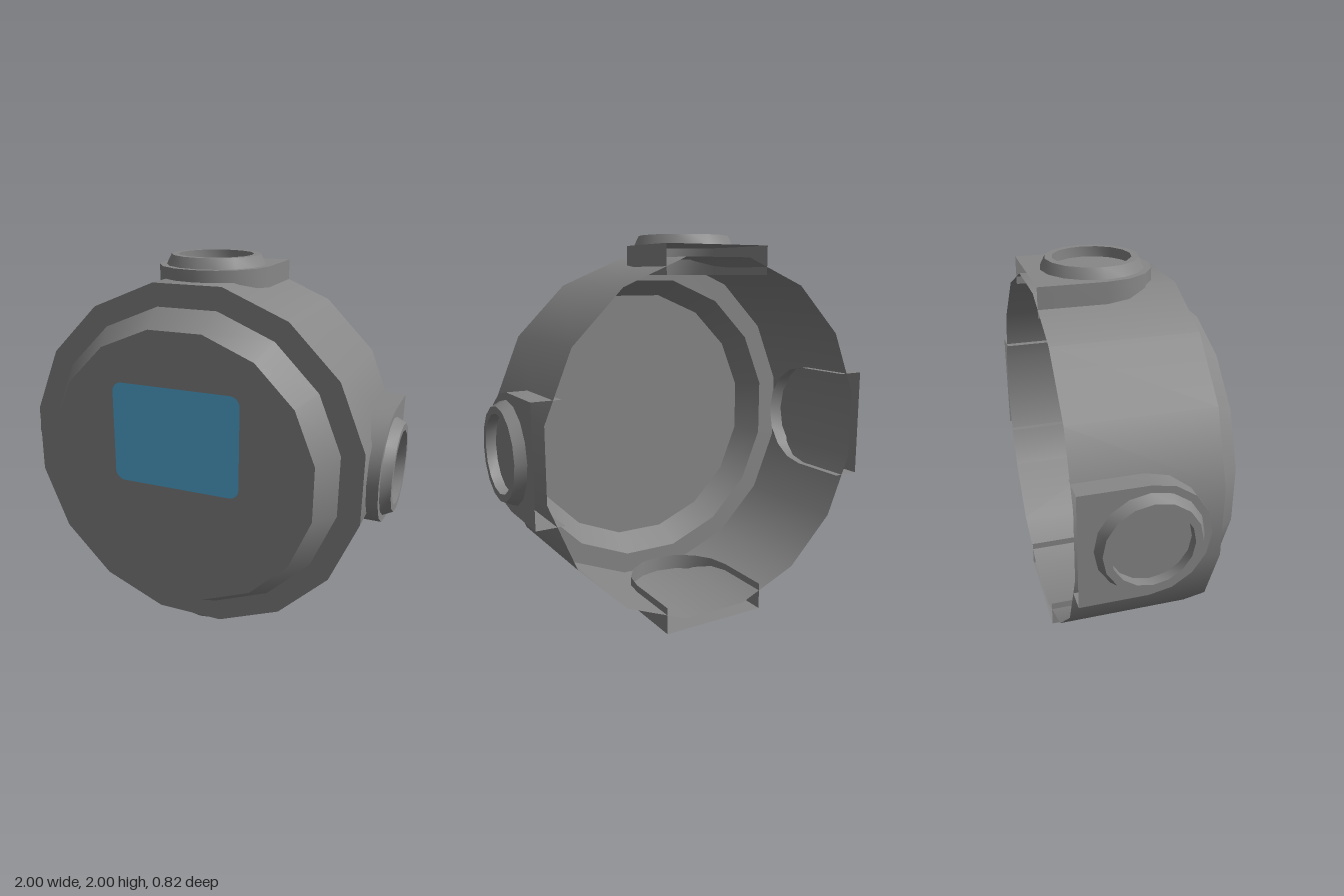
import * as THREE from 'three';
import { toCreasedNormals } from 'three/addons/utils/BufferGeometryUtils.js';

const SIDES = 16, R = 0.91, STEP = Math.PI / SIDES;
const BACK = -0.41, RIM = 0.27, FRONT = 0.41;
const PORT_R = 0.285, PORT_Z = -0.09, PORT_FOOT = 0.81, PORT_TOP = 0.95;

const grey = new THREE.MeshStandardMaterial({ color: 0x878787, side: THREE.DoubleSide });
const blue = new THREE.MeshStandardMaterial({ color: 0x56b0e0 });

function part(name, geometry, material = grey) {
  const mesh = new THREE.Mesh(geometry, material);
  mesh.name = name;
  return mesh;
}

// Skin between two rows of points
function strip(a, b) {
  const n = a.length, index = [];
  for (let i = 0; i < n - 1; i++) index.push(i, i + 1, n + i, n + i, i + 1, n + i + 1);
  const g = new THREE.BufferGeometry();
  g.setAttribute('position', new THREE.Float32BufferAttribute([...a, ...b].flat(), 3));
  g.setIndex(index);
  g.computeVertexNormals();
  return g;
}

// U-shaped port outline as [x, z], open at the back
function portOutline() {
  const points = [[-PORT_R, BACK]];
  for (let i = 0; i <= 8; i++) {
    const t = i * Math.PI / 8;
    points.push([-PORT_R * Math.cos(t), PORT_Z + PORT_R * Math.sin(t)]);
  }
  points.push([PORT_R, BACK]);
  return points;
}

// Port standing on the wall; its sides run through to the inside
function createPort() {
  const port = new THREE.Group();
  const u = portOutline();
  const row = (y) => u.map(([x, z]) => [x, y, z]);
  port.add(part('portWall', strip(row(PORT_FOOT), row(PORT_TOP))));
  port.add(part('portCap', strip(row(PORT_TOP), u.map(([x]) => [x, PORT_TOP, BACK]))));

  // Tapered collar with a shallow round recess
  const profile = [[0.25, PORT_TOP], [0.225, 1], [0.19, 1], [0.19, PORT_TOP]].map(([x, y]) => new THREE.Vector2(x, y));
  const collar = part('portCollar', toCreasedNormals(new THREE.LatheGeometry(profile, 16), 0.6));
  collar.position.z = PORT_Z;
  port.add(collar);
  return port;
}

// Open tube around the z axis
function tube(name, rFront, rBack, zFront, zBack) {
  const g = new THREE.CylinderGeometry(rFront, rBack, zFront - zBack, SIDES, 1, true, STEP);
  const mesh = part(name, g.rotateX(Math.PI / 2));
  mesh.position.z = (zFront + zBack) / 2;
  return mesh;
}

function createDisplay() {
  const x0 = -0.34, x1 = 0.33, y0 = -0.09, y1 = 0.425, r = 0.05;
  const s = new THREE.Shape();
  s.absarc(x1 - r, y1 - r, r, 0, Math.PI / 2);
  s.absarc(x0 + r, y1 - r, r, Math.PI / 2, Math.PI);
  s.absarc(x0 + r, y0 + r, r, Math.PI, 1.5 * Math.PI);
  s.absarc(x1 - r, y0 + r, r, 1.5 * Math.PI, 2 * Math.PI);
  const display = part('display', new THREE.ShapeGeometry(s, 6), blue);
  display.position.z = FRONT + 0.003;
  return display;
}

export function createModel() {
  const model = new THREE.Group();
  model.name = 'junctionHousing';
  const body = new THREE.Group();
  body.name = 'housing';
  body.position.y = 1;
  model.add(body);

  // Four ports around the wall, turning from the top towards -x
  ['topPort', 'rightPort', 'bottomPort', 'leftPort'].forEach((name, i) => {
    const port = createPort();
    port.name = name;
    port.rotation.z = i * Math.PI / 2;
    body.add(port);
  });

  // Side wall, front rim, bevel and face; the back is open
  const rim = part('frontRim', new THREE.RingGeometry(0.795, R, SIDES, 1, STEP));
  rim.position.z = RIM;
  const face = part('frontFace', new THREE.CircleGeometry(0.71, SIDES, STEP));
  face.position.z = FRONT;
  body.add(tube('sideWall', R, R, RIM, BACK), rim, tube('bevel', 0.71, 0.795, FRONT, RIM), face, createDisplay());
  return model;
}
